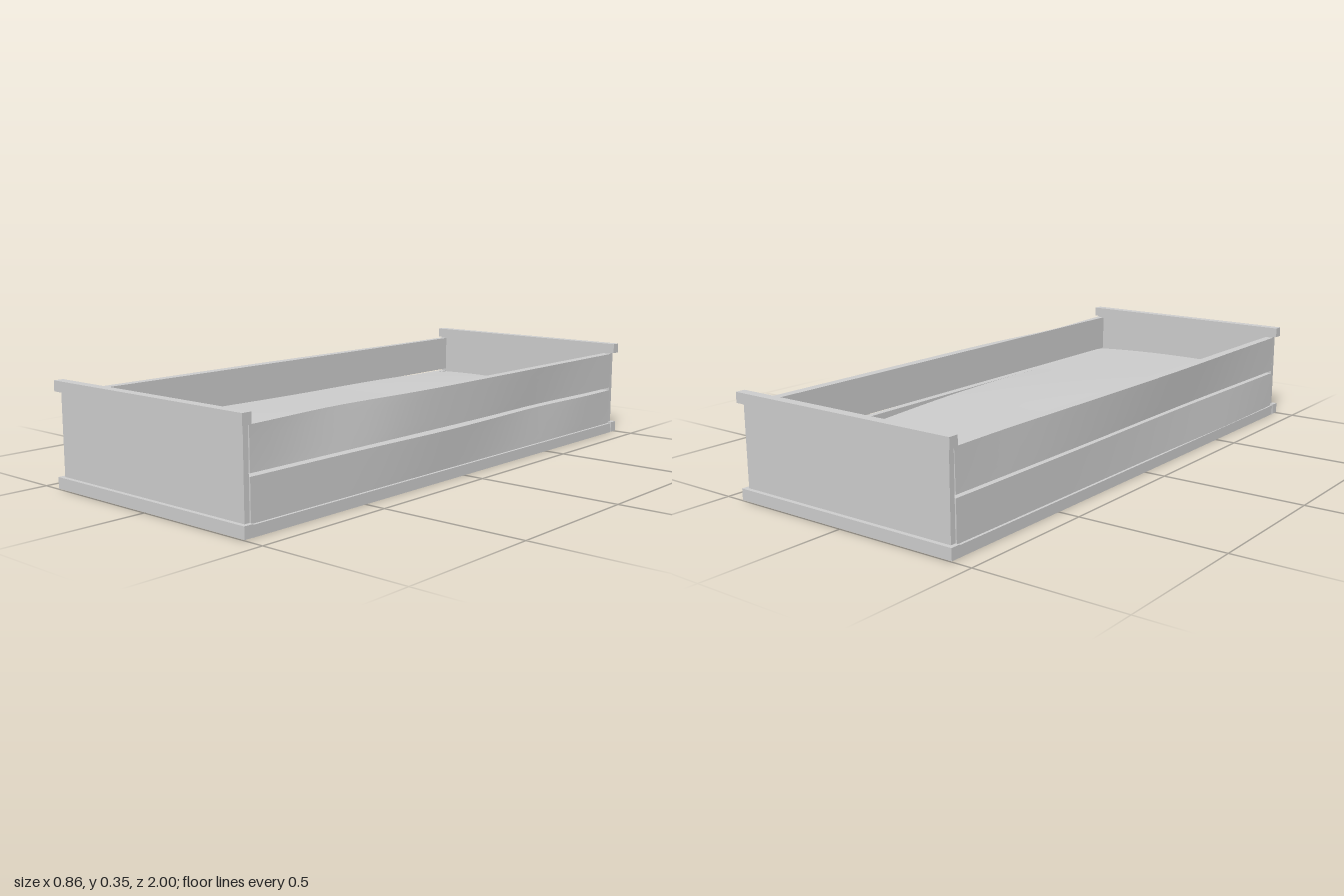
import * as THREE from 'three';
import { toCreasedNormals } from 'three/addons/utils/BufferGeometryUtils.js';

const grey = new THREE.MeshStandardMaterial({ color: 0xcccccc });
const greyOpen = new THREE.MeshStandardMaterial({ color: 0xcccccc, side: THREE.DoubleSide });

// Box given by its lowest and highest corners
function slab(name, [x0, y0, z0], [x1, y1, z1]) {
  const mesh = new THREE.Mesh(new THREE.BoxGeometry(x1 - x0, y1 - y0, z1 - z0), grey);
  mesh.position.set((x0 + x1) / 2, (y0 + y1) / 2, (z0 + z1) / 2);
  mesh.name = name;
  return mesh;
}

// Long side board: flat inside, its outer face moved in or out by a rule of z and height t
function warpedBoard(name, side, y0, y1, warp) {
  const g = new THREE.BoxGeometry(0.03, y1 - y0, 1.926, 1, 4, 24);
  g.translate(side * 0.402, (y0 + y1) / 2, 0);
  const p = g.attributes.position;
  for (let i = 0; i < p.count; i++) {
    const t = (p.getY(i) - y0) / (y1 - y0);
    if (side * p.getX(i) > 0.402) p.setX(i, p.getX(i) + side * warp(p.getZ(i), t));
  }
  const mesh = new THREE.Mesh(toCreasedNormals(g, 0.7), grey);
  mesh.name = name;
  return mesh;
}

// Gently uneven fill height, falling towards the left side and the back
function soilHeight(x, z) {
  const base = 0.172 + 0.016 * z + 0.015 * (1 - z * z);
  return base - 0.03 * x - 0.1 * x * x + 0.03 * x * z + 0.003 * Math.sin(z * 5 + x * 4);
}

export function createModel() {
  const model = new THREE.Group();
  model.name = 'planterBox';

  // Three floor planks with narrow gaps
  for (const i of [-1, 0, 1]) {
    const x = i * 0.287;
    model.add(slab('floorPlank', [x - 0.1395, 0, -0.966], [x + 0.1395, 0.036, 0.966]));
  }

  // End panels with a top cap and a bottom rail
  for (const s of [-1, 1]) {
    const end = new THREE.Group();
    end.name = s > 0 ? 'frontEnd' : 'backEnd';
    const zs = (a, b) => [Math.min(s * a, s * b), Math.max(s * a, s * b)];
    const [p0, p1] = zs(0.966, 0.985);
    const [r0, r1] = zs(0.966, 1);
    end.add(slab('endPanel', [-0.415, 0.036, p0], [0.415, 0.315, p1]));
    end.add(slab('endCap', [-0.43, 0.315, r0], [0.43, 0.35, r1]));
    end.add(slab('endRail', [-0.43, 0.002, r0], [0.43, 0.04, r1]));
    model.add(end);
  }

  // Two warped boards along each side
  const bump = (z, c, w) => Math.exp(-(((z - c) / w) ** 2));
  model.add(
    warpedBoard('leftLowerBoard', 1, 0.036, 0.168, (z, t) =>
      t * (0.011 * bump(z, 0.1, 0.3) - 0.007 * bump(z, -0.45, 0.2) + 0.005 * bump(z, -0.8, 0.15))),
    warpedBoard('leftUpperBoard', 1, 0.178, 0.312, (z, t) =>
      t * (0.004 - 0.026 * bump(z, 0.6, 0.28)) - (1 - t) * 0.01 * bump(z, -0.45, 0.25)),
    warpedBoard('rightLowerBoard', -1, 0.036, 0.168, (z, t) =>
      (1 - t) * 0.007 * bump(z, 0.6, 0.35) - t * 0.007 * bump(z, 0.2, 0.5)),
    warpedBoard('rightUpperBoard', -1, 0.178, 0.312, (z, t) =>
      t * (0.008 * bump(z, 0.2, 0.45) - 0.006 * bump(z, -0.75, 0.25)) - (1 - t) * 0.007 * bump(z, 0.3, 0.5))
  );

  // Earth filling the box
  const soil = new THREE.PlaneGeometry(0.78, 1.93, 12, 24).rotateX(-Math.PI / 2);
  const p = soil.attributes.position;
  for (let i = 0; i < p.count; i++) p.setY(i, soilHeight(p.getX(i), p.getZ(i)));
  soil.computeVertexNormals();
  const soilMesh = new THREE.Mesh(soil, greyOpen);
  soilMesh.name = 'soil';
  model.add(soilMesh);

  return model;
}
